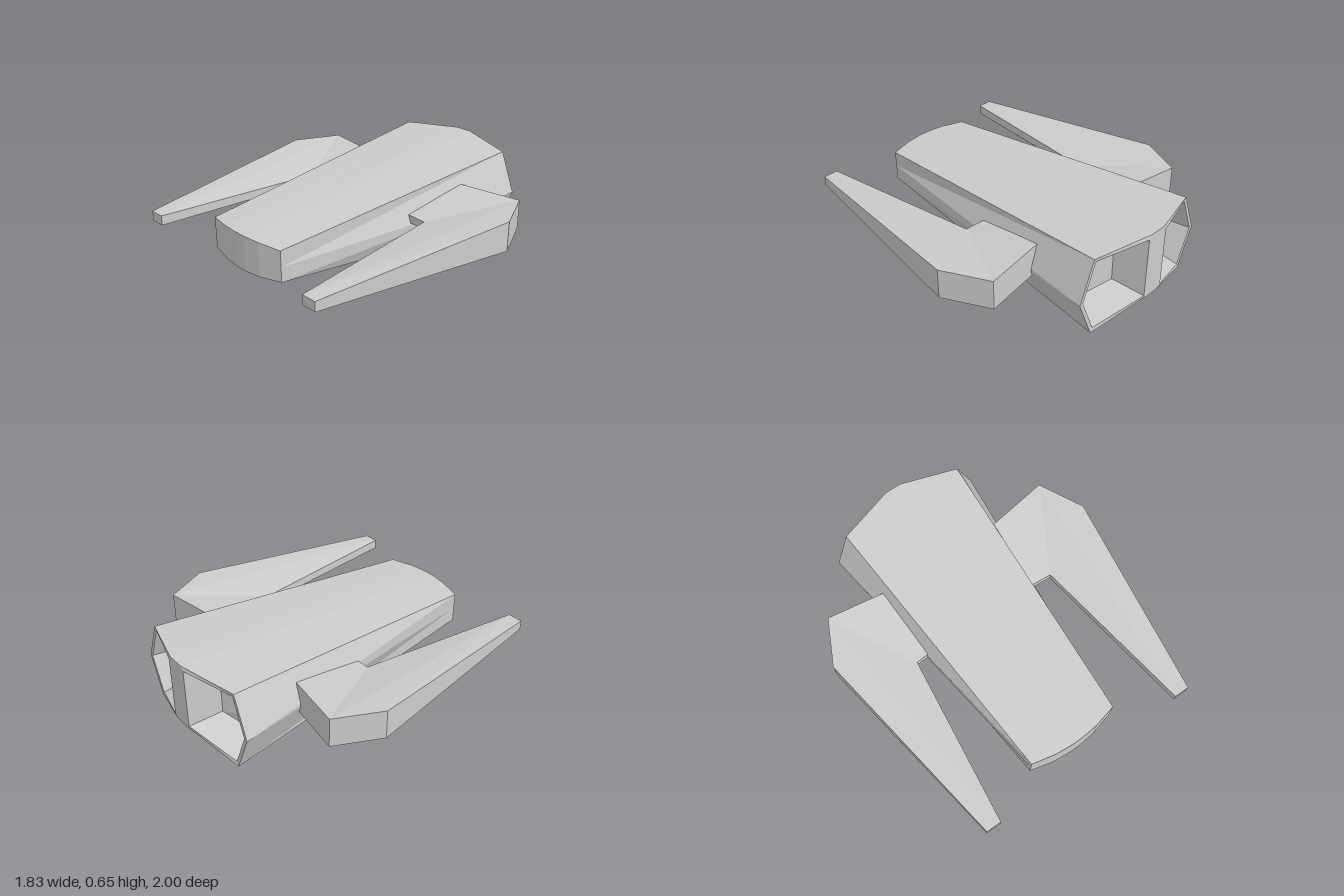
import * as THREE from 'three';

const material = new THREE.MeshStandardMaterial({ color: 0xcccccc, flatShading: true });

// Flat-shaded mesh from polygons (each fanned into triangles); mirror flips x
function polyMesh(name, polys, mirror = false) {
  const pos = [];
  for (const p of polys) {
    const q = mirror ? p.map(([x, y, z]) => [-x, y, z]).reverse() : p;
    for (let i = 1; i < q.length - 1; i++) pos.push(...q[0], ...q[i], ...q[i + 1]);
  }
  const g = new THREE.BufferGeometry();
  g.setAttribute('position', new THREE.Float32BufferAttribute(pos, 3));
  g.computeVertexNormals();
  const m = new THREE.Mesh(g, material);
  m.name = name;
  return m;
}

// Quads between two rings ordered counterclockwise as seen from the front
const bridge = (a, b) => a.map((p, i) => {
  const j = (i + 1) % a.length;
  return [p, b[i], b[j], a[j]];
});

// Shrink a ring toward its centre and shift it along z
function inset(ring, k, dz) {
  const c = [0, 1, 2].map(n => ring.reduce((s, p) => s + p[n], 0) / ring.length);
  return ring.map(p => [c[0] + (p[0] - c[0]) * k, c[1] + (p[1] - c[1]) * k, p[2] + dz]);
}

const stations = [1, 0.5, 0.13, -0.13, -0.5, -1];
const hullX = -0.015;

function hullRing(topPoint, bottomPoint, side) {
  const [sx, sy, sz] = side;
  return [
    [sx, sy, sz], ...stations.map(topPoint),
    [-sx, sy, sz], ...[...stations].reverse().map(bottomPoint),
  ].map(([x, y, z]) => [x + hullX, y, z]);
}

function createHull() {
  const group = new THREE.Group();
  group.name = 'hull';
  const front = hullRing(
    u => [0.29 * u, 0.52 - 0.012 * u * u, 0.89 - 0.045 * u * u],
    u => [0.29 * u, 0.303 + 0.015 * u * u, 0.89 - 0.045 * u * u],
    [0.29, 0.41, 0.845]);
  const a = u => Math.max(0, (Math.abs(u) - 0.13) / 0.87);
  const rear = hullRing(
    u => [0.405 * u, 0.65 - 0.025 * a(u), -1 + 0.1 * a(u)],
    u => [0.405 * u, 0.23 - 0.1 * a(u), -1 + 0.1 * a(u)],
    [0.505, 0.375, -0.9]);

  // Curved nose panel
  const nose = [];
  for (let i = 0; i < 5; i++) nose.push([front[1 + i], front[2 + i], front[12 - i], front[13 - i]]);
  group.add(polyMesh('hullShell', [...bridge(front, rear), ...nose]));

  // Two recessed exhausts with a post between them
  for (const ids of [[11, 12, 13, 0, 1, 2, 3], [4, 5, 6, 7, 8, 9, 10]]) {
    const rim = ids.map(i => rear[i]);
    const lip = inset(rim, 0.9, 0);
    const deep = inset(rim, 0.72, 0.2);
    group.add(polyMesh('exhaust', [...bridge(rim, lip), ...bridge(lip, deep), [...deep].reverse()]));
  }
  group.add(polyMesh('exhaustPost', [[rear[11], rear[10], rear[4], rear[3]]]));
  return group;
}

// Side pontoon: x, z and half height at each corner of the outline
function createPontoon(mirror) {
  const outline = [
    [0.33, -0.49, 0.0925], [0.78, -0.56, 0.0925], [0.915, -0.28, 0.0925],
    [0.72, 1, 0.03], [0.625, 1, 0.03], [0.49, -0.045, 0.024], [0.33, -0.055, 0.024],
  ];
  const top = outline.map(([x, z, h]) => [x, 0.427 + h, z]);
  const bottom = outline.map(([x, z, h]) => [x, 0.427 - h, z]);
  const faces = [[1, 2, 4], [2, 3, 4], [1, 4, 5], [0, 1, 5], [0, 5, 6]];
  const polys = faces.flatMap(([i, j, k]) => [[top[k], top[j], top[i]], [bottom[i], bottom[j], bottom[k]]]);
  top.forEach((p, i) => {
    const j = (i + 1) % top.length;
    polys.push([p, top[j], bottom[j], bottom[i]]);
  });
  return polyMesh(mirror ? 'rightPontoon' : 'leftPontoon', polys, mirror);
}

// Faceted keel pod under the hull
function createBellyPod() {
  // z, keel y, chine x, chine y, shoulder y, roof x, roof y
  const rings = [
    [0.07, 0.245, 0.11, 0.248, 0.255, 0.09, 0.28],
    [-0.4, 0, 0.28, 0.115, 0.2, 0.14, 0.28],
    [-0.53, 0, 0.28, 0.115, 0.2, 0.14, 0.28],
    [-0.775, 0.115, 0.13, 0.117, 0.17, 0.1, 0.26],
  ].map(([z, ky, cx, cy, sy, rx, ry]) => [
    [0, ky], [cx, cy], [cx, sy], [rx, ry], [-rx, ry], [-cx, sy], [-cx, cy],
  ].map(([x, y]) => [x - 0.005, y, z]));
  const polys = [rings[0], [...rings[3]].reverse()];
  for (let i = 0; i < 3; i++) polys.push(...bridge(rings[i], rings[i + 1]));
  return polyMesh('bellyPod', polys);
}

export function createModel() {
  const model = new THREE.Group();
  model.name = 'spacecraft';
  model.add(createHull(), createPontoon(false), createPontoon(true), createBellyPod());
  return model;
}
